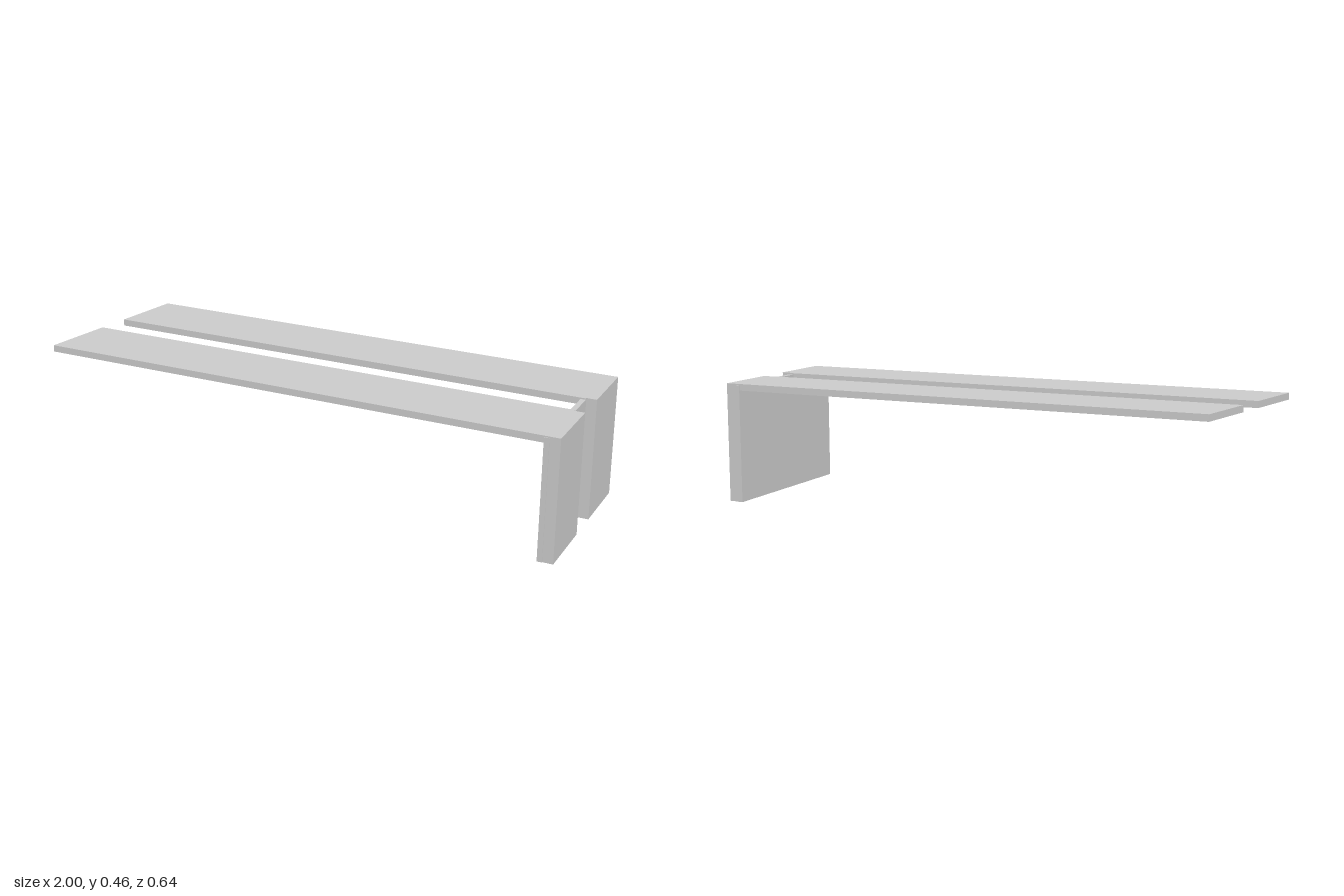
import * as THREE from 'three';

const LEG_IN = 0.962, TOP = 0.455, UNDER = 0.43, OUTER = 0.316, INNER = 0.066;
const material = new THREE.MeshStandardMaterial({ color: 0xcccccc, flatShading: true });

// Slanted cut shared by the free ends of both boards
const endX = (z) => -1 + 0.165 * (OUTER - z);

function box(name, x0, x1, y0, y1, z0, z1) {
  const mesh = new THREE.Mesh(new THREE.BoxGeometry(x1 - x0, y1 - y0, z1 - z0), material);
  mesh.position.set((x0 + x1) / 2, (y0 + y1) / 2, (z0 + z1) / 2);
  mesh.name = name;
  return mesh;
}

// Flat board outlined by [x, z] corners, extruded upwards
function board(name, corners) {
  const shape = new THREE.Shape(corners.map(([x, z]) => new THREE.Vector2(x, -z)));
  const geometry = new THREE.ExtrudeGeometry(shape, { depth: TOP - UNDER, bevelEnabled: false });
  geometry.rotateX(-Math.PI / 2);
  const mesh = new THREE.Mesh(geometry, material);
  mesh.position.y = UNDER;
  mesh.name = name;
  return mesh;
}

export function createModel() {
  const model = new THREE.Group();
  model.name = 'cantileverShelf';

  for (const [side, label, lip] of [[1, 'front', 0.058], [-1, 'back', 0.061]]) {
    const arm = new THREE.Group();
    arm.name = label + 'Arm';
    const zo = side * OUTER, zi = side * INNER, zl = side * lip;

    // Long top board with a thin lip along its inner edge, stopping at the leg
    arm.add(board(label + 'Board', [
      [1, zo], [1, zi], [LEG_IN, zi], [LEG_IN, zl],
      [endX(zl), zl], [endX(zi), zi], [endX(zo), zo],
    ]));

    // Upright leg, flush with the board's outer end
    arm.add(box(label + 'Leg', LEG_IN, 1, 0, UNDER, Math.min(zo, zi), Math.max(zo, zi)));
    model.add(arm);
  }

  // Thin panel joining the two legs on their inner side
  model.add(box('joiningPanel', 0.943, LEG_IN, 0, 0.45, -0.319, 0.319));
  return model;
}
